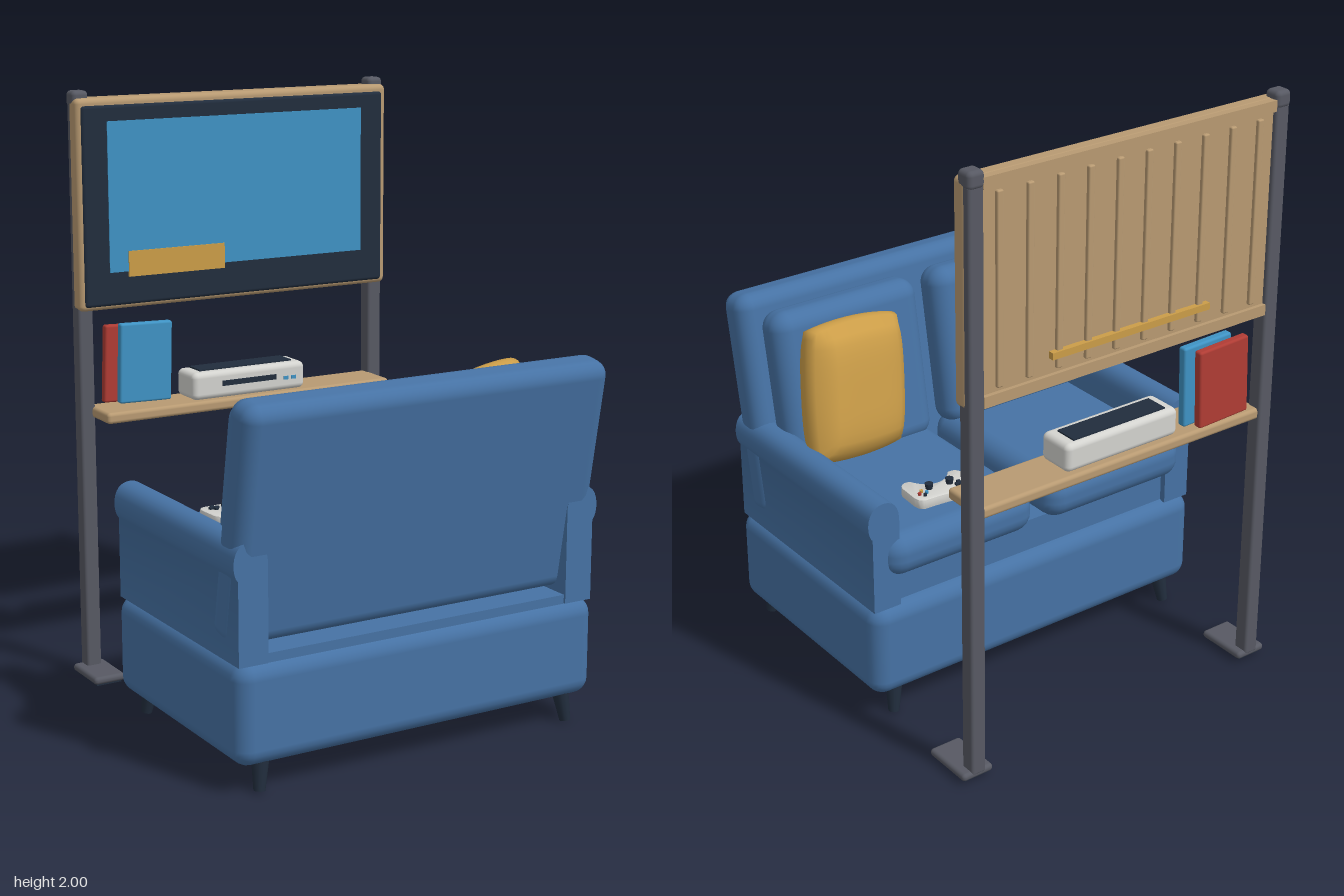
import * as THREE from 'three';
import { mergeVertices, toCreasedNormals } from 'three/addons/utils/BufferGeometryUtils.js';
import { RoundedBoxGeometry } from 'three/addons/geometries/RoundedBoxGeometry.js';

const mat = (name, color) => {
  const m = new THREE.MeshStandardMaterial({ color });
  m.name = name;
  return m;
};

export function createModel() {
  const fabric = mat('blue fabric', 0x4672a4);
  const wood = mat('light wood', 0xb89a72);
  const metal = mat('grey metal', 0x575963);
  const dark = mat('dark plastic', 0x212d3d);
  const screenBlue = mat('screen blue', 0x3f93c4);
  const gold = mat('gold', 0xcb9d48);
  const white = mat('off white plastic', 0xd3d3cf);
  const red = mat('red', 0xb03c34);

  const root = new THREE.Group();
  root.name = 'sofaAndScreen';
  const group = (name, parent = root) => {
    const g = new THREE.Group();
    g.name = name;
    parent.add(g);
    return g;
  };
  const add = (parent, name, geo, material, x = 0, y = 0, z = 0) => {
    const m = new THREE.Mesh(geo, material);
    m.name = name;
    m.position.set(x, y, z);
    parent.add(m);
    return m;
  };
  // boxes given by their limits; r > 0 rounds the edges
  const box = (parent, name, material, [x0, x1], [y0, y1], [z0, z1], r = 0) => {
    const s = [x1 - x0, y1 - y0, z1 - z0];
    const geo = r ? new RoundedBoxGeometry(...s, 3, r) : new THREE.BoxGeometry(...s);
    return add(parent, name, geo, material, (x0 + x1) / 2, (y0 + y1) / 2, (z0 + z1) / 2);
  };

  // ---- sofa, its seat facing -z ----
  const sofa = group('sofa');
  box(sofa, 'base', fabric, [-0.655, 0.655], [0.085, 0.412], [-0.23, 0.605], 0.055);
  box(sofa, 'seatDeck', fabric, [-0.55, 0.55], [0.39, 0.52], [-0.19, 0.46]);
  box(sofa, 'rearDeck', fabric, [-0.55, 0.55], [0.39, 0.433], [0.45, 0.58]);
  const back = add(sofa, 'backrest', new RoundedBoxGeometry(1.3, 0.77, 0.135, 3, 0.05), fabric, 0, 0.828, 0.535);
  back.rotation.x = 0.175;

  for (const s of [-1, 1]) {
    // arm: upright panel with a rolled top, run along z
    const p = new THREE.Shape();
    p.moveTo(s * 0.545, 0.405);
    p.lineTo(s * 0.645, 0.405);
    p.lineTo(s * 0.645, 0.67);
    p.quadraticCurveTo(s * 0.66, 0.685, s * 0.66, 0.725);
    p.quadraticCurveTo(s * 0.655, 0.785, s * 0.603, 0.787);
    p.quadraticCurveTo(s * 0.55, 0.785, s * 0.545, 0.72);
    p.closePath();
    const arm = new THREE.ExtrudeGeometry(p, { depth: 0.8, bevelEnabled: false, curveSegments: 6 });
    add(sofa, 'arm', toCreasedNormals(arm, 0.7), fabric, 0, 0, -0.212);

    box(sofa, 'seatCushion', fabric, s > 0 ? [0.025, 0.6] : [-0.6, -0.025], [0.505, 0.655], [-0.243, 0.44], 0.065);
    const cushion = add(sofa, 'backCushion', new RoundedBoxGeometry(0.56, 0.56, 0.14, 4, 0.06), fabric, s * 0.312, 0.895, 0.427);
    cushion.rotation.x = 0.175;

    // splayed legs
    for (const [z, lean] of [[0.562, -0.15], [-0.184, 0.15]]) {
      const leg = add(sofa, 'leg', new THREE.CylinderGeometry(0.029, 0.018, 0.11, 12), dark, s * 0.563, 0.055, z);
      leg.rotation.set(lean, 0, s * 0.12);
    }
  }

  // throw pillow: a box thinned towards its edges, with pulled corners
  let pillowGeo = new THREE.BoxGeometry(2, 2, 2, 14, 14, 4);
  pillowGeo.deleteAttribute('normal');
  pillowGeo.deleteAttribute('uv');
  pillowGeo = mergeVertices(pillowGeo);
  const pos = pillowGeo.attributes.position;
  for (let i = 0; i < pos.count; i++) {
    const u = pos.getX(i), v = pos.getY(i), w = pos.getZ(i);
    const puff = 0.35 + 0.65 * Math.sqrt((1 - u ** 4) * (1 - v ** 4));
    const round = 1 - 0.07 * u * u * v * v - 0.03 * w * w;
    pos.setXYZ(i, u * 0.21 * round, v * 0.235 * round, w * 0.085 * puff);
  }
  pillowGeo.computeVertexNormals();
  const pillow = add(sofa, 'throwPillow', pillowGeo, gold, 0.37, 0.915, 0.305);
  pillow.rotation.set(0.17, 0.25, 0.12);

  // ---- game controllers lying on the seat ----
  const outline = new THREE.Shape();
  outline.moveTo(-0.08, -0.062);
  outline.quadraticCurveTo(0, -0.052, 0.08, -0.062);
  outline.quadraticCurveTo(0.1, -0.06, 0.103, -0.03);
  outline.lineTo(0.108, 0.04);
  outline.quadraticCurveTo(0.1, 0.075, 0.07, 0.065);
  outline.quadraticCurveTo(0.045, 0.02, 0, 0.018);
  outline.quadraticCurveTo(-0.045, 0.02, -0.07, 0.065);
  outline.quadraticCurveTo(-0.1, 0.075, -0.108, 0.04);
  outline.lineTo(-0.103, -0.03);
  outline.quadraticCurveTo(-0.1, -0.06, -0.08, -0.062);
  const shell = new THREE.ExtrudeGeometry(outline, {
    depth: 0.022, bevelThickness: 0.006, bevelSize: 0.004, bevelSegments: 2, curveSegments: 6,
  });
  shell.rotateX(Math.PI / 2);
  const shellGeo = toCreasedNormals(shell, 0.6);
  for (const s of [-1, 1]) {
    const pad = group('controller', sofa);
    pad.position.set(s * 0.297, 0.683, -0.072);
    pad.rotation.y = -s * 0.13;
    add(pad, 'shell', shellGeo, white);
    add(pad, 'directionPad', new THREE.BoxGeometry(0.036, 0.008, 0.012), dark, -0.065, 0.009, -0.025);
    add(pad, 'directionPad', new THREE.BoxGeometry(0.012, 0.008, 0.036), dark, -0.065, 0.009, -0.025);
    for (const x of [-0.037, 0.037]) {
      add(pad, 'thumbStick', new THREE.CylinderGeometry(0.014, 0.011, 0.022, 14), dark, x, 0.014, -0.003);
    }
    [red, gold, screenBlue, dark].forEach((m, i) => {
      const a = i * Math.PI / 2;
      add(pad, 'button', new THREE.CylinderGeometry(0.006, 0.006, 0.01, 10), m,
        0.07 + 0.013 * Math.cos(a), 0.009, -0.027 + 0.013 * Math.sin(a));
    });
  }

  // ---- screen stand ----
  const stand = group('screenStand');
  for (const s of [-1, 1]) {
    const x = s * 0.565;
    box(stand, 'post', metal, [x - 0.027, x + 0.027], [0.02, 1.96], [-0.656, -0.602], 0.01);
    box(stand, 'postCap', metal, [x - 0.029, x + 0.029], [1.945, 2], [-0.66, -0.602], 0.015);
    box(stand, 'foot', metal, [s * 0.567 - 0.057, s * 0.567 + 0.057], [0.01, 0.036], [-0.655, -0.472], 0.012);
    box(stand, 'footPad', dark, [s * 0.567 - 0.045, s * 0.567 + 0.045], [0.004, 0.012], [-0.643, -0.484]);
  }
  box(stand, 'screenFrame', wood, [-0.594, 0.594], [1.274, 1.976], [-0.642, -0.58], 0.018);
  for (const y of [1.293, 1.957]) {
    box(stand, 'backRail', wood, [-0.54, 0.54], [y - 0.018, y + 0.018], [-0.655, -0.63]);
  }
  for (let i = 0; i < 10; i++) {
    const x = -0.482 + i * 0.107;
    box(stand, 'backSlat', wood, [x - 0.011, x + 0.011], [1.325, 1.925], [-0.654, -0.635], 0.005);
  }
  box(stand, 'backStrip', gold, [-0.3, 0.3], [1.362, 1.384], [-0.662, -0.638]);
  box(stand, 'screenBezel', dark, [-0.578, 0.575], [1.287, 1.953], [-0.6, -0.573], 0.012);
  box(stand, 'screen', screenBlue, [-0.488, 0.485], [1.4, 1.9], [-0.576, -0.57]);
  box(stand, 'screenBanner', gold, [-0.42, -0.06], [1.382, 1.468], [-0.574, -0.566]);
  box(stand, 'shelf', wood, [-0.55, 0.55], [0.908, 0.946], [-0.648, -0.48], 0.012);

  // console box on the shelf
  const unit = group('consoleBox', stand);
  box(unit, 'body', white, [-0.22, 0.217], [0.945, 1.04], [-0.63, -0.5], 0.02);
  box(unit, 'topPanel', dark, [-0.18, 0.178], [1.036, 1.045], [-0.61, -0.532]);
  box(unit, 'slot', dark, [-0.11, 0.1], [0.988, 1.006], [-0.506, -0.496]);
  for (const x of [0.14, 0.17]) {
    box(unit, 'light', screenBlue, [x - 0.009, x + 0.009], [0.983, 0.995], [-0.506, -0.497]);
  }

  // books leaning on the shelf
  const redBook = box(stand, 'redBook', red, [-0.495, -0.295], [0.947, 1.212], [-0.642, -0.612], 0.008);
  redBook.rotation.z = -0.04;
  const blueBook = box(stand, 'blueBook', screenBlue, [-0.455, -0.262], [0.947, 1.22], [-0.605, -0.575], 0.008);
  blueBook.rotation.z = -0.03;

  return root;
}
